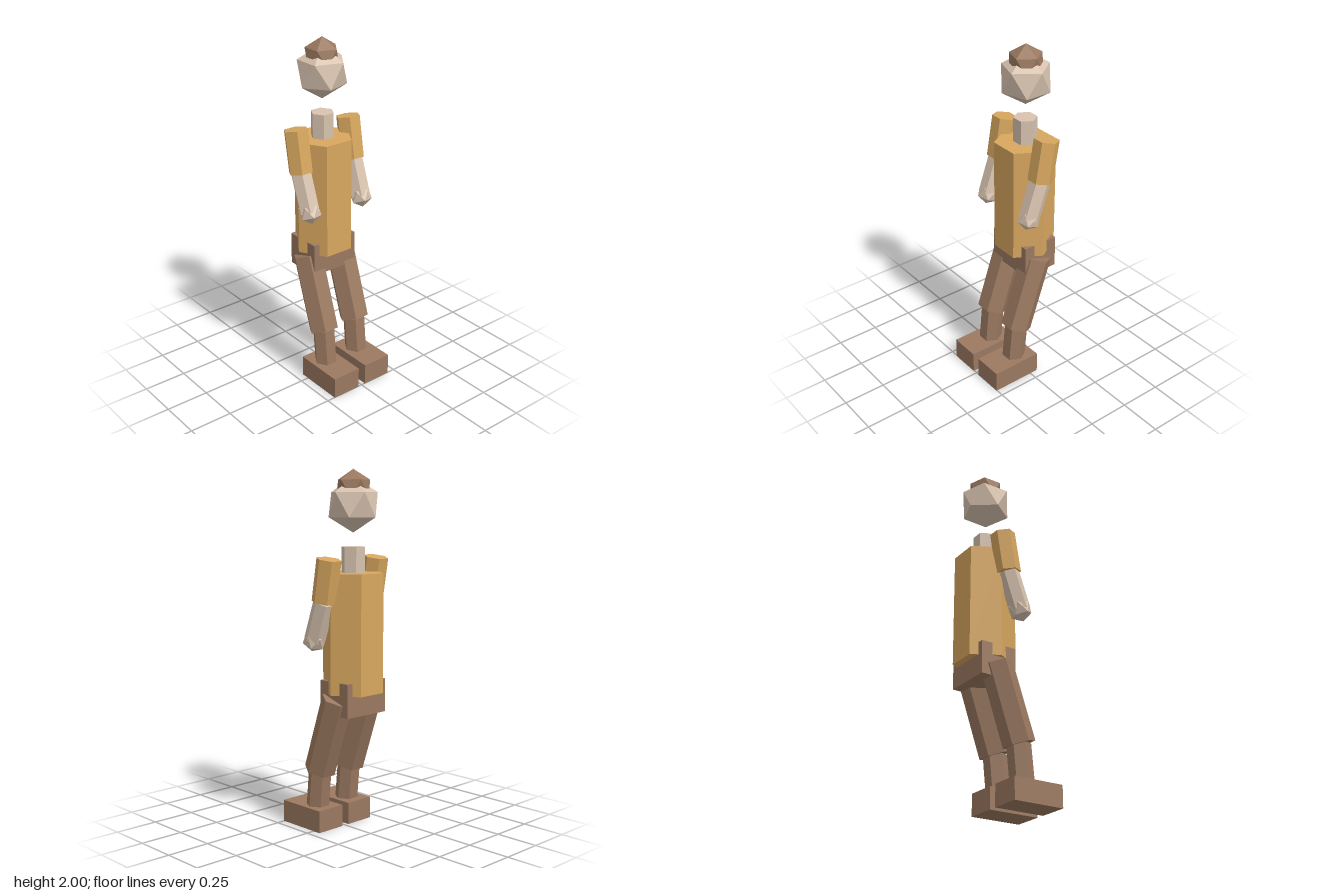
import * as THREE from 'three';

const material = (name, color) => {
  const m = new THREE.MeshStandardMaterial({ color, flatShading: true });
  m.name = name;
  return m;
};

// Twenty-sided ball with a corner at each pole and an upper-ring corner at +x
function ballGeometry(radius) {
  const v = [0, 1, 0, 0, -1, 0], f = [];
  const h = 1 / Math.sqrt(5), r = 2 * h;
  for (let k = 0; k < 5; k++) {
    const a = (k * Math.PI * 2) / 5, b = a + Math.PI / 5;
    v.push(r * Math.cos(a), h, r * Math.sin(a), r * Math.cos(b), -h, r * Math.sin(b));
    const n = (k + 1) % 5;
    const u0 = 2 + k * 2, l0 = u0 + 1, u1 = 2 + n * 2, l1 = u1 + 1;
    f.push(0, u1, u0, u0, u1, l0, l0, u1, l1, l0, l1, 1);
  }
  return new THREE.PolyhedronGeometry(v, f, radius, 0);
}

export function createModel() {
  const model = new THREE.Group();
  model.name = 'figure';
  const shirt = material('ochre shirt', 0xd8a75f);
  const skin = material('pale skin', 0xd8c3af);
  const brown = material('brown cloth', 0x9b7960);

  const add = (name, geometry, mat, x, y, z) => {
    const mesh = new THREE.Mesh(geometry, mat);
    mesh.name = name;
    mesh.position.set(x, y, z);
    model.add(mesh);
    return mesh;
  };
  const box = (name, mat, w, h, d, x, y, z) =>
    add(name, new THREE.BoxGeometry(w, h, d), mat, x, y, z);
  const ball = (name, mat, r, x, y, z) => add(name, ballGeometry(r), mat, x, y, z);

  // Six-sided prism between two [y, z] points, with flat sides to front and back
  const prism = (name, mat, r, x, [y0, z0], [y1, z1]) => {
    const dy = y0 - y1, dz = z1 - z0;
    const geometry = new THREE.CylinderGeometry(r, r, Math.hypot(dy, dz), 6, 1, false, Math.PI / 6);
    const mesh = add(name, geometry, mat, x, (y0 + y1) / 2, (z0 + z1) / 2);
    mesh.rotation.x = -Math.atan2(dz, dy);
    return mesh;
  };

  // Trunk and head
  const z = -0.107;
  box('pelvis', brown, 0.292, 0.187, 0.215, 0, 0.7615, z);
  prism('torso', shirt, 0.171, 0, [1.445, z], [0.785, z]);
  prism('neck', skin, 0.066, 0, [1.585, z], [1.42, z]);
  ball('head', skin, 0.15, 0, 1.81, z);
  ball('hair', brown, 0.103, 0, 1.897, z);

  // Arms and legs
  for (const [side, s] of [['left', 1], ['right', -1]]) {
    const arm = s * 0.18, leg = s * 0.113;
    prism(side + 'UpperArm', shirt, 0.07, arm, [1.524, -0.107], [1.29, -0.067]);
    prism(side + 'Forearm', skin, 0.06, arm, [1.29, -0.067], [1.079, 0.008]);
    ball(side + 'Hand', skin, 0.067, arm, 1.079, 0.008).rotation.x = -0.35;
    prism(side + 'Thigh', brown, 0.089, leg, [0.757, -0.103], [0.329, 0.042]);
    prism(side + 'Shin', brown, 0.066, leg, [0.33, 0.039], [0.1, 0.061]);
    box(side + 'Foot', brown, 0.177, 0.125, 0.302, leg, 0.0625, 0.102);
  }
  return model;
}
